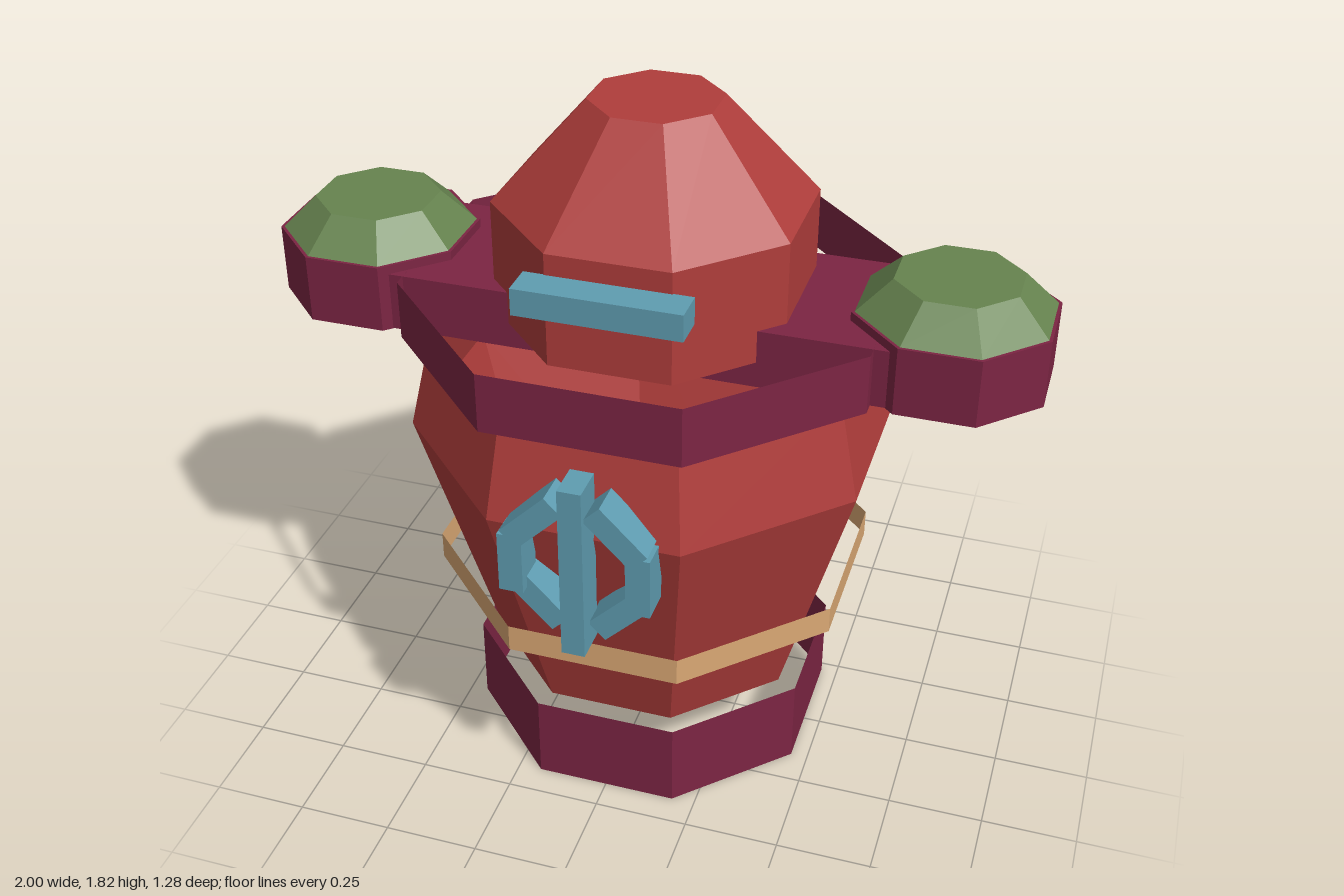
import * as THREE from 'three';

const make = (name, color, side = THREE.DoubleSide) =>
  new THREE.MeshStandardMaterial({ name, color, side, flatShading: true });

const CZ = -0.035; // shared axis of the barrel

export function createModel() {
  const red = make('red', 0xaf3d3b);
  const maroon = make('maroon', 0x7c2543);
  const tan = make('tan', 0xdaa874);
  const teal = make('teal', 0x5f9db1);
  const green = make('green', 0x66834f);
  const root = new THREE.Group();

  const add = (name, geometry, material, x, y, z, parent = root) => {
    const mesh = new THREE.Mesh(geometry, material);
    mesh.name = name;
    mesh.position.set(x, y, z);
    parent.add(mesh);
    return mesh;
  };

  // Octagonal frustum with flats on the axes; radii are measured to the flats
  const oct = (name, mat, y0, y1, r0, r1, open = true, x = 0, z = CZ, parent = root) => {
    const k = 1 / Math.cos(Math.PI / 8);
    const g = new THREE.CylinderGeometry(r1 * k, r0 * k, y1 - y0, 8, 1, open, Math.PI / 8);
    return add(name, g, mat, x, (y0 + y1) / 2, z, parent);
  };

  const box = (name, mat, w, h, d, x, y, z, parent = root) =>
    add(name, new THREE.BoxGeometry(w, h, d), mat, x, y, z, parent);

  // Barrel body, open at both ends, with its loose bands
  oct('lowerBody', red, 0.24, 0.93, 0.403, 0.593);
  oct('upperBody', red, 0.93, 1.2, 0.593, 0.535);
  oct('baseBand', maroon, 0, 0.24, 0.455, 0.455);
  oct('belt', tan, 0.49, 0.565, 0.543, 0.543);
  oct('collarBand', maroon, 1.19, 1.347, 0.602, 0.602);

  // Head with a tapered, flat-topped crown
  oct('headWall', red, 1.26, 1.56, 0.378, 0.378);
  oct('headCrown', red, 1.56, 1.82, 0.378, 0.156);
  const cap = new THREE.CircleGeometry(0.156 / Math.cos(Math.PI / 8), 8, Math.PI / 8);
  add('crownTop', cap.rotateX(-Math.PI / 2), red, 0, 1.82, CZ);
  box('visor', teal, 0.42, 0.07, 0.09, 0, 1.47, 0.385);

  // Shoulder beam and domed pods
  box('shoulderBeam', maroon, 1.28, 0.155, 0.44, 0, 1.269, -0.04);
  for (const s of [-1, 1]) {
    const shoulder = new THREE.Group();
    shoulder.name = s > 0 ? 'leftShoulder' : 'rightShoulder';
    root.add(shoulder);
    oct('pod', maroon, 1.19, 1.37, 0.24, 0.24, false, s * 0.76, -0.04, shoulder);
    oct('dome', green, 1.37, 1.455, 0.232, 0.15, false, s * 0.76, -0.04, shoulder);
  }

  // Chest badge: an upright bar inside a broken octagonal ring
  const badge = new THREE.Group();
  badge.name = 'chestBadge';
  root.add(badge);
  box('badgeBar', teal, 0.06, 0.48, 0.095, 0, 0.875, 0.5925, badge);
  for (const s of [-1, 1]) {
    box('ringSide', teal, 0.062, 0.165, 0.09, s * 0.161, 0.865, 0.58, badge);
    const top = box('ringUpper', teal, 0.062, 0.165, 0.09, s * 0.105, 0.995, 0.58, badge);
    top.rotation.z = s * Math.PI / 4;
    const low = box('ringLower', teal, 0.062, 0.165, 0.09, s * 0.105, 0.745, 0.553, badge);
    low.rotation.z = -s * Math.PI / 4;
  }
  return root;
}
